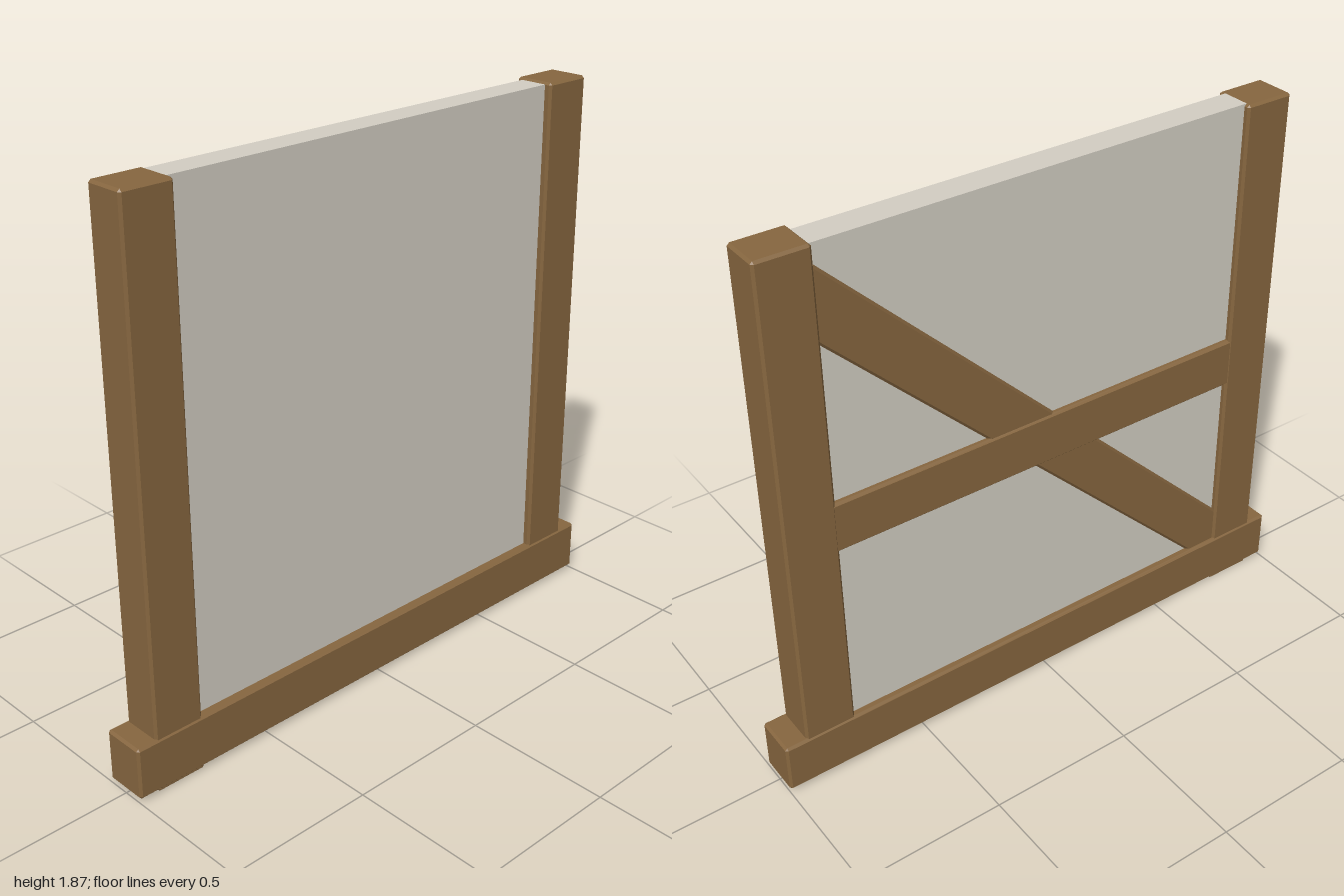
import * as THREE from 'three';
import { ConvexGeometry } from 'three/addons/geometries/ConvexGeometry.js';

const wood = new THREE.MeshStandardMaterial({ color: 0x86663f, flatShading: true });
const plaster = new THREE.MeshStandardMaterial({ color: 0xd2cdc2, flatShading: true });

// Box with chamfered edges: each corner becomes three points
function chamferedBox(w, h, d, c = 0.008) {
  const points = [];
  for (const sx of [-1, 1]) for (const sy of [-1, 1]) for (const sz of [-1, 1]) {
    for (let axis = 0; axis < 3; axis++) {
      const cut = [c, c, c];
      cut[axis] = 0;
      points.push(new THREE.Vector3(
        sx * (w / 2 - cut[0]), sy * (h / 2 - cut[1]), sz * (d / 2 - cut[2])));
    }
  }
  return new ConvexGeometry(points);
}

export function createModel() {
  const group = new THREE.Group();

  // Timber given by its extents on each axis
  function beam(name, [x0, x1], [y0, y1], [z0, z1]) {
    const mesh = new THREE.Mesh(chamferedBox(x1 - x0, y1 - y0, z1 - z0), wood);
    mesh.position.set((x0 + x1) / 2, (y0 + y1) / 2, (z0 + z1) / 2);
    mesh.name = name;
    group.add(mesh);
    return mesh;
  }

  // Sill and the two posts standing through it
  beam('sillBeam', [-1, 1], [0.012, 0.19], [-0.075, 0.075]);
  beam('rightPost', [-0.93, -0.755], [0, 1.86], [-0.07, 0.07]);
  beam('leftPost', [0.75, 0.925], [0.015, 1.867], [-0.07, 0.07]);

  // Middle rail and diagonal brace, proud of the panel at the back only
  beam('middleRail', [-0.82, 0.82], [0.853, 1.028], [-0.068, 0.03]);
  const brace = beam('diagonalBrace', [-1.14, 1.14], [0.853, 1.028], [-0.062, 0.03]);
  brace.rotation.z = THREE.MathUtils.degToRad(44.6);

  // Wall infill panel
  const panel = new THREE.Mesh(new THREE.BoxGeometry(1.54, 1.76, 0.096), plaster);
  panel.position.set(0, 0.98, -0.002);
  panel.name = 'infillPanel';
  group.add(panel);

  return group;
}
